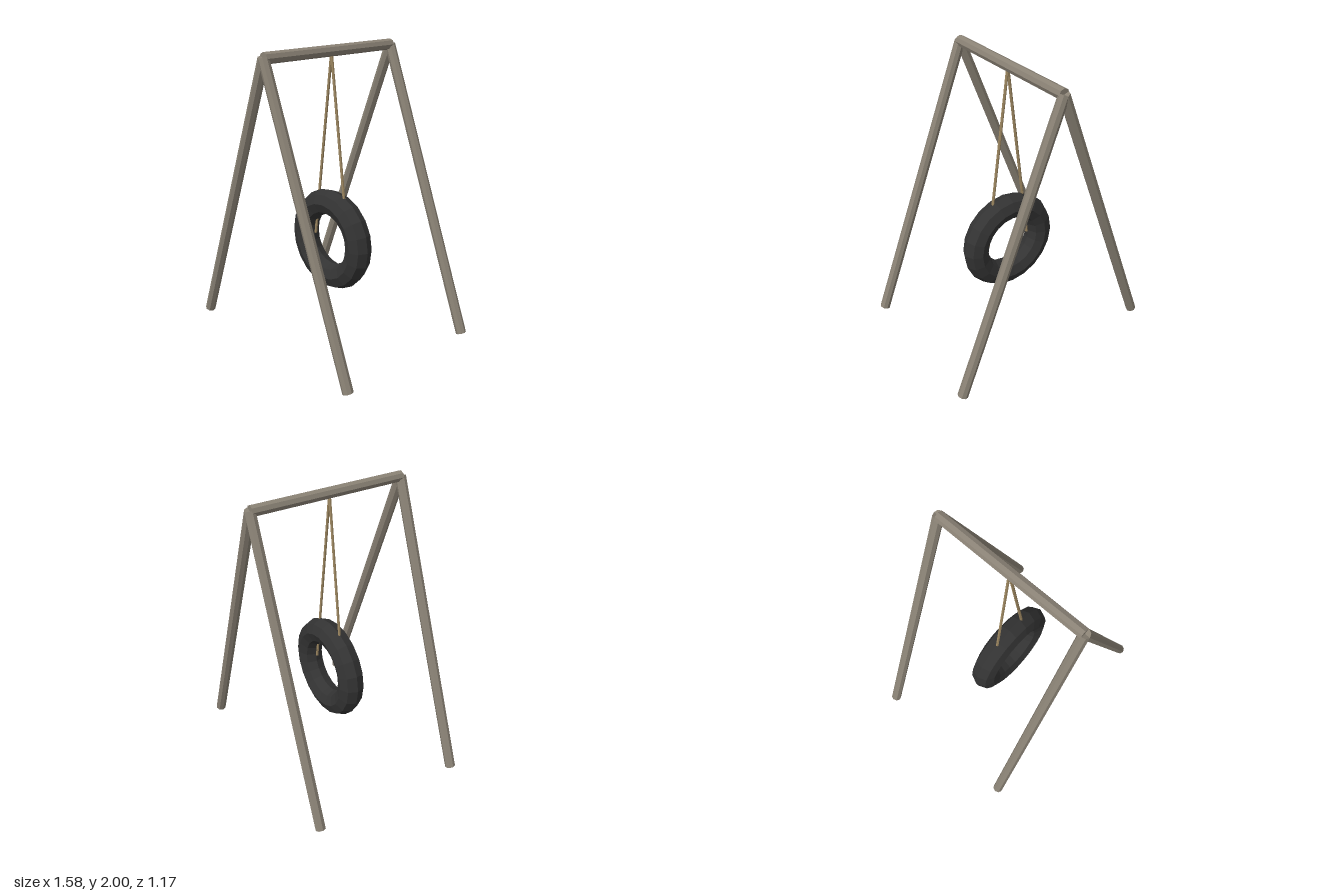
import * as THREE from 'three';

const wood = new THREE.MeshStandardMaterial({ color: 0x8a8275, flatShading: true });
const rubber = new THREE.MeshStandardMaterial({ color: 0x333333, flatShading: true });
const hemp = new THREE.MeshStandardMaterial({ color: 0x9c8660, flatShading: true });

// Straight round bar between two points
function bar(name, from, to, radius, sides, material) {
  const a = new THREE.Vector3(...from);
  const b = new THREE.Vector3(...to);
  const dir = b.clone().sub(a);
  const mesh = new THREE.Mesh(new THREE.CylinderGeometry(radius, radius, dir.length(), sides), material);
  mesh.name = name;
  mesh.position.copy(a).add(b).multiplyScalar(0.5);
  mesh.quaternion.setFromUnitVectors(new THREE.Vector3(0, 1, 0), dir.normalize());
  return mesh;
}

export function createModel() {
  const model = new THREE.Group();
  model.name = 'tireSwing';
  const topY = 1.962;

  // Two A-frames of splayed legs
  for (const [end, z] of [['front', 0.55], ['back', -0.55]]) {
    for (const [side, s] of [['Left', 1], ['Right', -1]]) {
      model.add(bar(`${end}${side}Leg`, [s * 0.757, 0.013, z], [0, topY, z], 0.036, 8, wood));
    }
  }

  // Ridge beam
  model.add(bar('topBeam', [0, topY, -0.55], [0, topY, 0.55], 0.038, 8, wood));

  // Ropes spreading from the beam to the inside of the tire
  for (const [side, s] of [['left', 1], ['right', -1]]) {
    model.add(bar(`${side}Rope`, [s * 0.168, 0.65, 0], [0, 1.95, 0], 0.01, 6, hemp));
  }

  // Hanging tire
  const tire = new THREE.Mesh(new THREE.TorusGeometry(0.272, 0.09, 8, 20), rubber);
  tire.name = 'tire';
  tire.position.y = 0.65;
  model.add(tire);

  return model;
}
